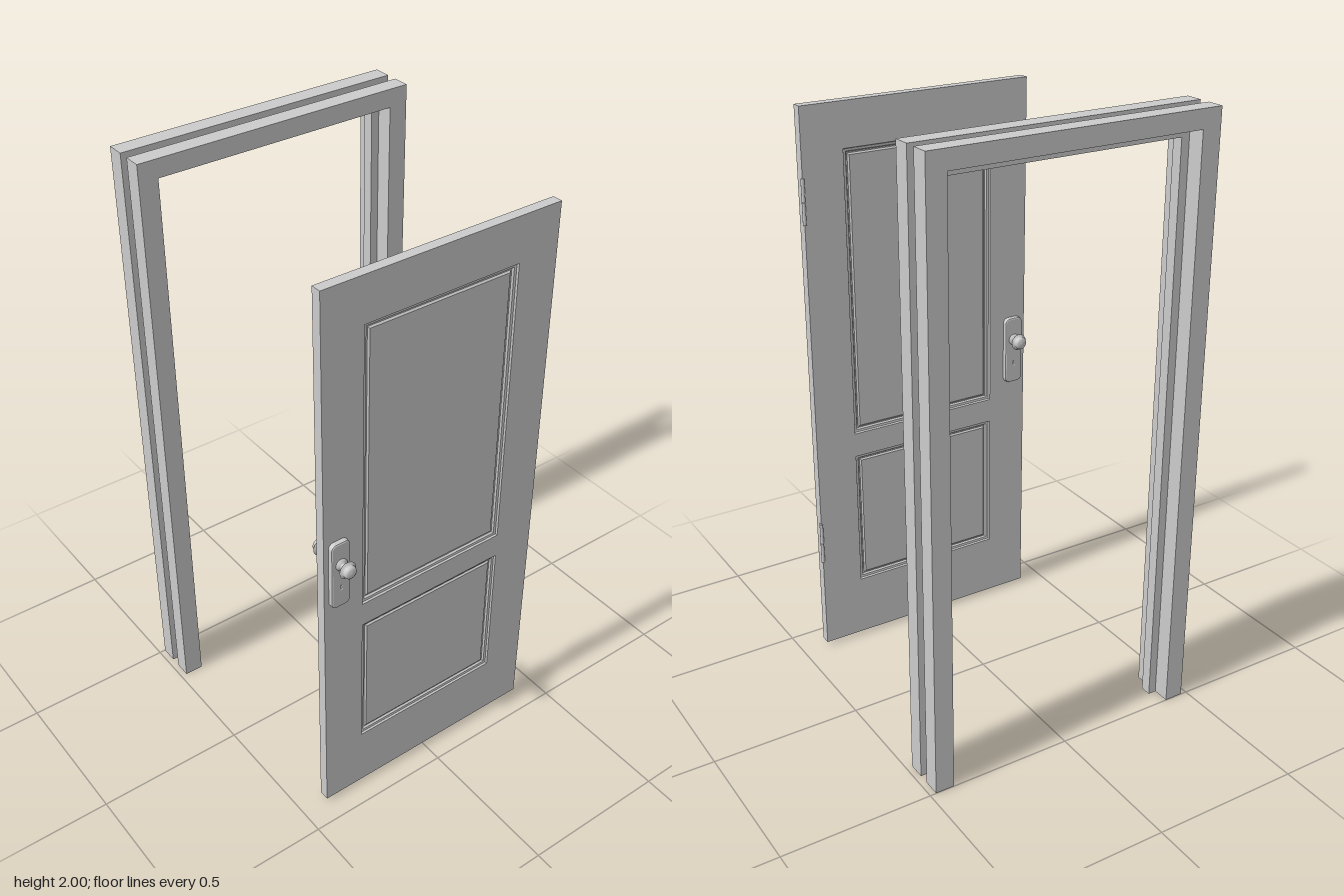
import * as THREE from 'three';

const mat = new THREE.MeshStandardMaterial({ color: 0xcccccc, flatShading: true, side: THREE.DoubleSide });
const smooth = new THREE.MeshStandardMaterial({ color: 0xcccccc, side: THREE.DoubleSide });

function add(parent, name, geometry, x = 0, y = 0, z = 0, material = mat) {
  const mesh = new THREE.Mesh(geometry, material);
  mesh.name = name;
  mesh.position.set(x, y, z);
  parent.add(mesh);
  return mesh;
}

function rectPath(path, x0, y0, x1, y1) {
  path.moveTo(x0, y0);
  path.lineTo(x1, y0);
  path.lineTo(x1, y1);
  path.lineTo(x0, y1);
  path.closePath();
  return path;
}

// Upside-down U standing on the floor
function archGeometry(outer, outerTop, inner, innerTop, depth) {
  const points = [[-outer, 0], [-inner, 0], [-inner, innerTop], [inner, innerTop],
    [inner, 0], [outer, 0], [outer, outerTop], [-outer, outerTop]];
  const shape = new THREE.Shape(points.map(([x, y]) => new THREE.Vector2(x, y)));
  return new THREE.ExtrudeGeometry(shape, { depth, bevelEnabled: false });
}

// Moulded panel: nested rectangles given as [inset, height], closed by a flat field
function panelGeometry(width, height, steps) {
  const position = [], index = [];
  for (const [inset, z] of steps) {
    const w = width / 2 - inset, h = height / 2 - inset;
    position.push(-w, -h, z, w, -h, z, w, h, z, -w, h, z);
  }
  for (let s = 0; s < steps.length - 1; s++) {
    for (let k = 0; k < 4; k++) {
      const a = s * 4 + k, b = s * 4 + (k + 1) % 4;
      index.push(a, b, b + 4, a, b + 4, a + 4);
    }
  }
  const f = (steps.length - 1) * 4;
  index.push(f, f + 1, f + 2, f, f + 2, f + 3);
  const geometry = new THREE.BufferGeometry();
  geometry.setAttribute('position', new THREE.Float32BufferAttribute(position, 3));
  geometry.setIndex(index);
  const flat = geometry.toNonIndexed();
  flat.computeVertexNormals();
  return flat;
}

function roundedPlate(w, h, r) {
  const s = new THREE.Shape();
  s.absarc(w - r, h - r, r, 0, Math.PI / 2);
  s.absarc(-w + r, h - r, r, Math.PI / 2, Math.PI);
  s.absarc(-w + r, -h + r, r, Math.PI, Math.PI * 1.5);
  s.absarc(w - r, -h + r, r, Math.PI * 1.5, Math.PI * 2);
  s.closePath();
  return s;
}

// Plate with keyhole and a turned knob, facing +z, origin on the door face
function createHandle() {
  const handle = new THREE.Group();
  const shape = roundedPlate(0.029, 0.116, 0.014);
  const hole = new THREE.Path();
  hole.absarc(0, -0.043, 0.006, 0, Math.PI);
  hole.absarc(0, -0.053, 0.006, Math.PI, Math.PI * 2);
  hole.closePath();
  shape.holes.push(hole);
  add(handle, 'handlePlate', new THREE.ExtrudeGeometry(shape, {
    depth: 0.01, bevelThickness: 0.006, bevelSize: 0.005, bevelSegments: 2, curveSegments: 6,
  }));
  add(handle, 'keyholeBack', new THREE.BoxGeometry(0.02, 0.035, 0.002), 0, -0.048, 0.004);
  const profile = [[0.02, 0.014], [0.02, 0.02], [0.012, 0.023], [0.009, 0.028], [0.009, 0.036],
    [0.014, 0.041], [0.027, 0.044], [0.029, 0.047], [0.027, 0.05], [0.021, 0.052],
    [0.022, 0.057], [0.02, 0.064], [0.014, 0.068], [0, 0.07]];
  const knob = new THREE.LatheGeometry(profile.map(([r, y]) => new THREE.Vector2(r, y)), 24);
  knob.rotateX(Math.PI / 2);
  add(handle, 'knob', knob, 0, 0.041, 0, smooth);
  return handle;
}

export function createModel() {
  const model = new THREE.Group();
  model.name = 'doorAndFrame';

  // Frame: two casings with a recessed jamb between them
  const frame = new THREE.Group();
  frame.name = 'doorFrame';
  model.add(frame);
  add(frame, 'frontCasing', archGeometry(0.479, 2, 0.415, 1.94, 0.057), 0, 0, -0.405);
  add(frame, 'backCasing', archGeometry(0.479, 2, 0.415, 1.94, 0.058), 0, 0, -0.499);
  add(frame, 'jamb', archGeometry(0.415, 1.937, 0.387, 1.91, 0.037), 0, 0, -0.4415);

  // Door leaf with two openings for the panels
  const door = new THREE.Group();
  door.name = 'door';
  model.add(door);
  const thickness = 0.034, middle = 0.408;
  const panels = [[0.23, 0.718], [0.803, 1.785]];
  const leaf = rectPath(new THREE.Shape(), -0.411, 0.014, 0.411, 1.934);
  for (const [y0, y1] of panels) leaf.holes.push(rectPath(new THREE.Path(), -0.27, y0, 0.268, y1));
  add(door, 'doorLeaf', new THREE.ExtrudeGeometry(leaf, { depth: thickness, bevelEnabled: false }),
    0, 0, middle - thickness / 2);

  // Both faces carry the same panels and handle
  const steps = [[0, 0], [0.003, -0.006], [0.011, -0.007], [0.015, -0.013], [0.019, -0.013], [0.024, -0.008]];
  for (const side of [1, -1]) {
    const z = middle + side * thickness / 2;
    const turn = side > 0 ? 0 : Math.PI;
    panels.forEach(([y0, y1], i) => {
      const panel = add(door, i ? 'upperPanel' : 'lowerPanel', panelGeometry(0.538, y1 - y0, steps),
        -0.001, (y0 + y1) / 2, z);
      panel.rotation.y = turn;
    });
    const handle = createHandle();
    handle.name = side > 0 ? 'frontHandle' : 'backHandle';
    handle.position.set(-0.36, 0.98, z);
    handle.rotation.y = turn;
    door.add(handle);
  }

  // Hinges: two knuckles and a leaf on the left edge
  for (const y of [0.42, 1.635]) {
    for (const k of [-1, 1]) {
      add(door, 'hingeKnuckle', new THREE.CylinderGeometry(0.006, 0.006, 0.073, 12),
        0.411, y + k * 0.0375, 0.391, smooth);
    }
    add(door, 'hingePin', new THREE.CylinderGeometry(0.004, 0.004, 0.15, 8), 0.411, y, 0.391, smooth);
    add(door, 'hingeLeaf', new THREE.BoxGeometry(0.002, 0.15, 0.012), 0.411, y, 0.397);
  }
  return model;
}
